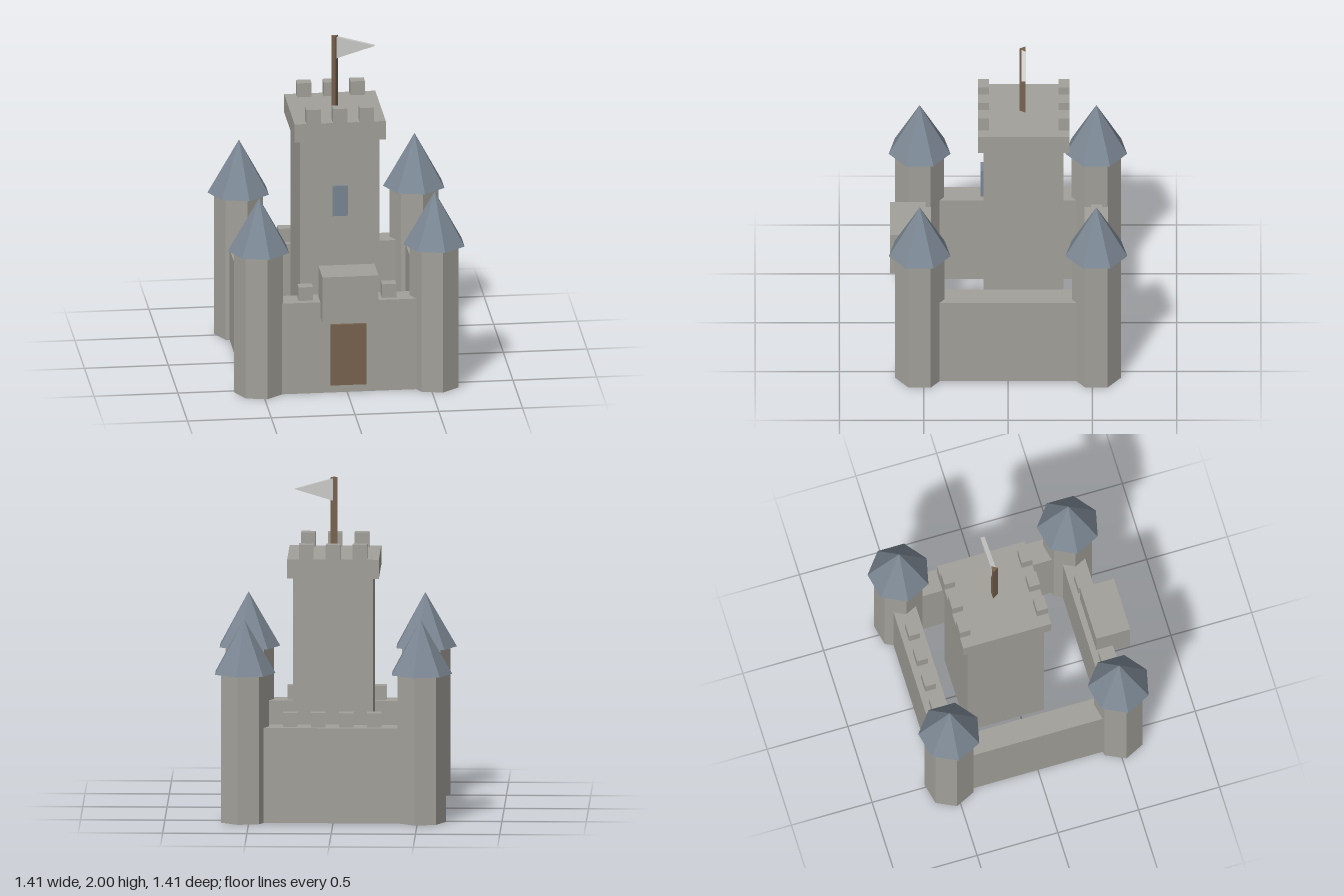
import * as THREE from 'three';

const material = (name, color) => {
  const m = new THREE.MeshStandardMaterial({ color });
  m.name = name;
  return m;
};

export function createModel() {
  const stone = material('stone', 0xa3a19a);
  const slate = material('slate', 0x7b8793);
  const wood = material('wood', 0x78644f);
  const cloth = material('cloth', 0xcdcdcb);

  const castle = new THREE.Group();
  castle.name = 'castle';

  const add = (name, geometry, mat, x = 0, y = 0, z = 0) => {
    const mesh = new THREE.Mesh(geometry, mat);
    mesh.name = name;
    mesh.position.set(x, y, z);
    castle.add(mesh);
    return mesh;
  };

  // Box given by its lower and upper limits on each axis
  const box = (name, mat, [x0, x1], [y0, y1], [z0, z1]) =>
    add(name, new THREE.BoxGeometry(x1 - x0, y1 - y0, z1 - z0), mat,
      (x0 + x1) / 2, (y0 + y1) / 2, (z0 + z1) / 2);

  // Faceted prism or cone standing on y0
  const prism = (name, mat, rTop, rBottom, sides, start, x, y0, y1, z) => {
    const g = new THREE.CylinderGeometry(rTop, rBottom, y1 - y0, sides, 1, false, start).toNonIndexed();
    g.computeVertexNormals();
    return add(name, g, mat, x, (y0 + y1) / 2, z);
  };

  const cx = 0.006;      // middle of the castle
  const span = 0.524;    // from the middle to wall and tower centres
  const half = 0.069;    // half the wall thickness
  const wallTop = 0.57;

  // Corner towers with pointed roofs
  for (const sx of [-1, 1]) {
    for (const sz of [-1, 1]) {
      const x = cx + sx * span, z = sz * span;
      prism('cornerTower', stone, 0.15, 0.15, 7, -Math.PI / 2, x, 0, 0.89, z);
      prism('towerRoof', slate, 0, 0.188, 7, -Math.PI / 2, x, 0.89, 1.215, z);
    }
  }

  // Curtain walls
  for (const s of [-1, 1]) {
    box(s > 0 ? 'frontWall' : 'backWall', stone,
      [cx - span, cx + span], [0, wallTop], [s * span - half, s * span + half]);
    box('sideWall', stone,
      [cx + s * span - half, cx + s * span + half], [0, wallTop], [-span, span]);
  }

  // Wall battlements; the gatehouse fills the middle of the front
  for (const [z, slots] of [[-span, [-1.5, -0.5, 0.5, 1.5]], [span, [-1.5, 1.5]]]) {
    for (const i of slots) {
      const x = cx + i * 0.166;
      box('wallMerlon', stone, [x - 0.043, x + 0.043], [wallTop, 0.655], [z - 0.033, z + 0.033]);
    }
  }

  // Gatehouse and door
  box('gatehouse', stone, [-0.16, 0.174], [0.48, 0.763], [0.49, 0.7]);
  box('door', wood, [-0.1, 0.112], [0.05, 0.43], [0.58, 0.612]);

  // Keep with its overhanging top
  const kz = -0.093;
  box('keep', stone, [cx - 0.237, cx + 0.237], [0, 1.432], [kz - 0.237, kz + 0.237]);
  box('keepTop', stone, [cx - 0.272, cx + 0.272], [1.432, 1.547], [kz - 0.272, kz + 0.272]);
  box('keepWindow', slate, [-0.037, 0.053], [0.955, 1.143], [0.13, 0.164]);

  // Keep battlements, front and back
  for (const s of [-1, 1]) {
    for (const i of [-1, 0, 1]) {
      const x = cx + i * 0.159, z = kz + s * 0.239;
      box('keepMerlon', stone, [x - 0.043, x + 0.043], [1.547, 1.634], [z - 0.033, z + 0.033]);
    }
  }

  // Flagpole and pennant
  prism('flagpole', wood, 0.024, 0.024, 3, 0, cx, 1.547, 2, kz);
  const pennant = new THREE.Shape([
    new THREE.Vector2(0.013, 1.86),
    new THREE.Vector2(0.243, 1.929),
    new THREE.Vector2(0.013, 1.994),
  ]);
  add('flag', new THREE.ExtrudeGeometry(pennant, { depth: 0.026, bevelEnabled: false }),
    cloth, 0, 0, kz - 0.014);

  return castle;
}
